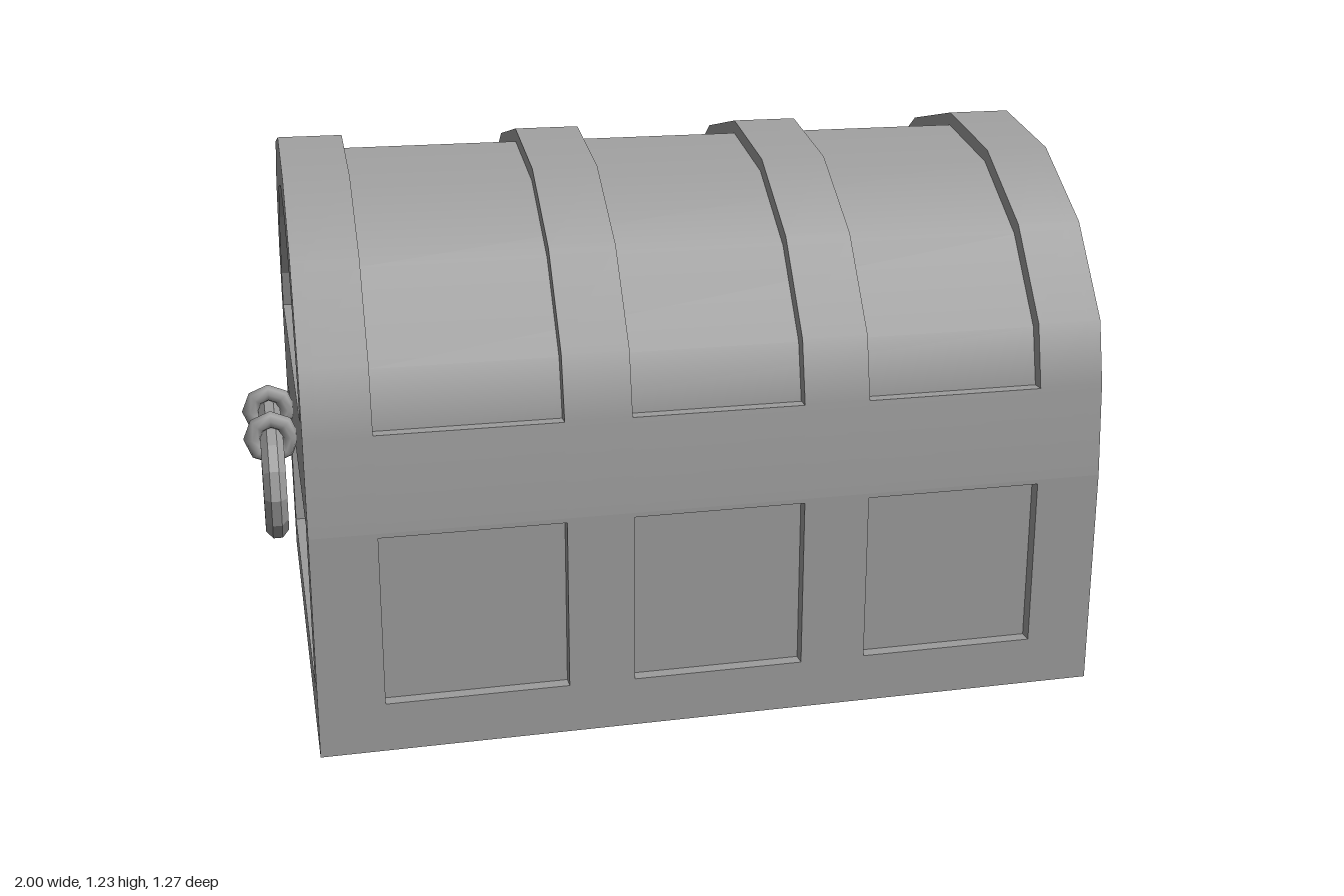
import * as THREE from 'three';
import { toCreasedNormals } from 'three/addons/utils/BufferGeometryUtils.js';

const material = new THREE.MeshStandardMaterial({ color: 0x9c9c9c });

function add(parent, name, geometry, x = 0, y = 0, z = 0) {
  const mesh = new THREE.Mesh(geometry, material);
  mesh.name = name;
  mesh.position.set(x, y, z);
  parent.add(mesh);
}

// Half outlines as [distance from middle, height], bottom to top
const ARCH = [[0.61, 0.71], [0.58, 0.85], [0.44, 1.045], [0.24, 1.18], [0, 1.23]];
const FULL = [[0.625, 0], [0.625, 0.5], ...ARCH];
const CORE = [[0.595, 0.05], [0.595, 0.5], [0.581, 0.71], [0.552, 0.836],
  [0.42, 1.02], [0.23, 1.151], [0, 1.2]];
const LOW_BELT = [[0.625, 0], [0.625, 0.11]];
const MID_BELT = [[0.625, 0.49], [0.625, 0.5], [0.61, 0.71]];
const LID_HOLE = [[0.5, 0.71], [0.475, 0.8], [0.365, 0.97], [0.195, 1.08], [0, 1.12]];
const BASE_HOLE = [[0.515, 0.11], [0.515, 0.49]];

// Lid corners that shade smoothly, each with its averaged normal
const SMOOTH = [FULL, CORE].flatMap((half) => half.slice(2, -1).map(([d, y], i) => {
  const [d0, y0] = half[i + 1], [d1, y1] = half[i + 3];
  return { d, y, normal: new THREE.Vector2(y1 - y0, d0 - d1).normalize() };
}));

// Smooth the curve of the lid; the ridge and all frame edges stay sharp
function smoothLid(geometry) {
  const p = geometry.attributes.position, n = geometry.attributes.normal;
  for (let i = 0; i < p.count; i++) {
    const y = p.getY(i), z = p.getZ(i), s = Math.sign(z);
    const corner = SMOOTH.find((c) => Math.hypot(c.d - Math.abs(z), c.y - y) < 1e-4);
    if (!corner) continue;
    const { x: out, y: up } = corner.normal;
    if (n.getZ(i) * s * out + n.getY(i) * up > 0.9) n.setXYZ(i, 0, up, s * out);
  }
  return geometry;
}

// Mirror a half outline into a closed one
function mirrored(half) {
  const other = half.filter(([d]) => d > 0).reverse().map(([d, y]) => [-d, y]);
  return [...half, ...other].map(([d, y]) => new THREE.Vector2(d, y));
}

// Extrude an outline along x from x0 to x1
function slab(half, x0, x1, holes = []) {
  const shape = new THREE.Shape(mirrored(half));
  for (const h of holes) shape.holes.push(new THREE.Path(mirrored(h)));
  const g = new THREE.ExtrudeGeometry(shape, { depth: x1 - x0, bevelEnabled: false });
  return smoothLid(g.rotateY(Math.PI / 2).translate(x0, 0, 0));
}

function makeBody() {
  const body = new THREE.Group();
  body.name = 'chestBody';
  body.position.z = 0.01;
  add(body, 'recessedPanels', slab(CORE, -0.74, 0.74));
  // Raised bands over the lid and down the walls
  for (const [x0, x1] of [[-0.85, -0.737], [-0.338, -0.192], [0.188, 0.335], [0.733, 0.85]]) {
    add(body, 'band', slab(FULL, x0, x1));
  }
  // Horizontal rails between the bands
  for (const [x0, x1] of [[-0.737, -0.338], [-0.192, 0.188], [0.335, 0.733]]) {
    add(body, 'bottomRail', slab(LOW_BELT, x0, x1));
    add(body, 'middleRail', slab(MID_BELT, x0, x1));
  }
  // End frames with openings for the sunken end panels
  add(body, 'rightEndFrame', slab(FULL, -0.88, -0.85, [LID_HOLE, BASE_HOLE]));
  add(body, 'leftEndFrame', slab(FULL, 0.85, 0.88, [LID_HOLE, BASE_HOLE]));
  return body;
}

// Long oval grip: a flat-faced octagon swept round two half circles
function gripGeometry() {
  const points = [];
  for (const end of [1, -1]) {
    for (let i = 0; i <= 6; i++) {
      const a = end * (Math.PI / 2 - (i / 6) * Math.PI);
      points.push(new THREE.Vector3(0, 0.445 + 0.1 * Math.sin(a),
        end * (0.11 + 0.1 * Math.cos(a))));
    }
  }
  const sides = 8, positions = [], index = [], n = points.length;
  points.forEach((p, i) => {
    const t = points[(i + 1) % n].clone().sub(p).normalize()
      .add(p.clone().sub(points[(i + n - 1) % n]).normalize()).normalize();
    for (let j = 0; j < sides; j++) {
      const a = ((j + 0.5) / sides) * Math.PI * 2, r = 0.033 * Math.cos(a);
      positions.push(0.028 * Math.sin(a), p.y - t.z * r, p.z + t.y * r);
      const k = (j + 1) % sides, next = ((i + 1) % n) * sides;
      const b = i * sides + j, c = i * sides + k;
      index.push(b, c, next + j, c, next + k, next + j);
    }
  });
  const grip = new THREE.BufferGeometry();
  grip.setAttribute('position', new THREE.Float32BufferAttribute(positions, 3));
  grip.setIndex(index);
  const flat = grip.toNonIndexed();
  flat.computeVertexNormals();
  return flat;
}

function makeHandle(side) {
  const handle = new THREE.Group();
  handle.name = side > 0 ? 'leftHandle' : 'rightHandle';
  handle.position.set(side * 0.936, 0, 0.01);
  add(handle, 'grip', gripGeometry());
  // Rings holding the grip to the wall
  for (const z of [-0.105, 0.105]) {
    add(handle, 'ring', new THREE.TorusGeometry(0.044, 0.02, 8, 8), 0, 0.553, z);
  }
  return handle;
}

function makeHinge(x) {
  const hinge = new THREE.Group();
  hinge.name = 'hinge';
  hinge.position.set(x, 0.605, -0.611);
  hinge.rotation.x = 0.06;
  // Plate with clipped corners
  const plate = new THREE.Shape([[-0.03, -0.1], [0.03, -0.1], [0.05, -0.075], [0.05, 0.075],
    [0.03, 0.1], [-0.03, 0.1], [-0.05, 0.075], [-0.05, -0.075]]
    .map(([px, py]) => new THREE.Vector2(px, py)));
  add(hinge, 'hingePlate',
    new THREE.ExtrudeGeometry(plate, { depth: 0.024, bevelEnabled: false }), 0, 0, -0.013);
  // Pin with thicker ends
  const rod = (r, l) => toCreasedNormals(new THREE.CylinderGeometry(r, r, l, 8).rotateZ(Math.PI / 2), 0.9);
  add(hinge, 'hingePin', rod(0.019, 0.17), 0, 0, -0.006);
  for (const s of [-1, 1]) add(hinge, 'pinEnd', rod(0.025, 0.02), s * 0.086, 0, -0.002);
  return hinge;
}

export function createModel() {
  const chest = new THREE.Group();
  chest.name = 'chest';
  chest.add(makeBody(), makeHandle(1), makeHandle(-1), makeHinge(-0.51), makeHinge(0.504));
  return chest;
}
